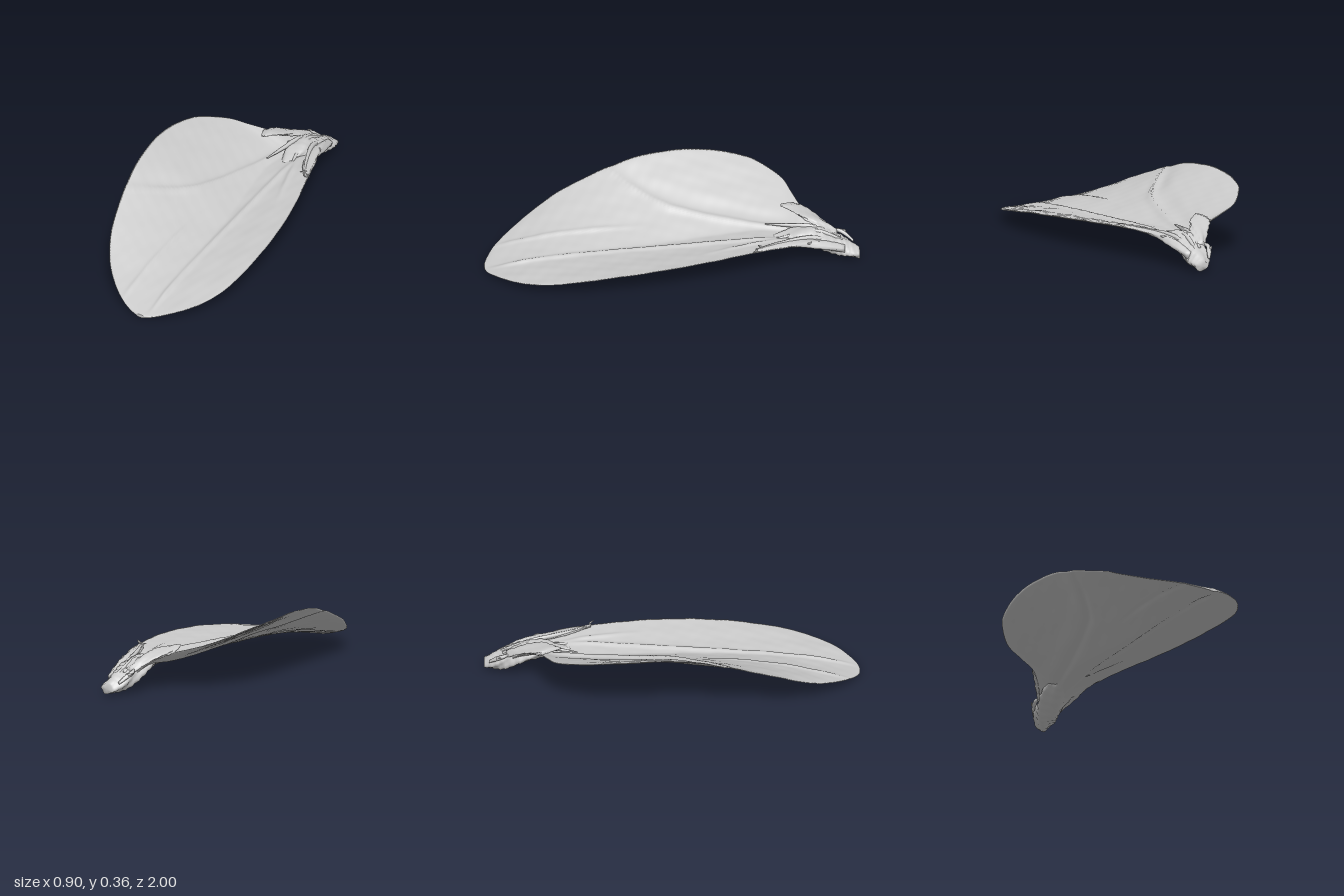
import * as THREE from 'three';

const V = (x, y, z) => new THREE.Vector3(x, y, z);
const material = new THREE.MeshStandardMaterial({ color: 0xcccccc, side: THREE.DoubleSide });
const spline = (pts) => new THREE.CatmullRomCurve3(pts.map((p) => V(...p)), false, 'catmullrom', 0.5);
const bump = (d, w) => Math.exp(-(d * d) / (w * w));
const step = THREE.MathUtils.smoothstep;

// Skin closed rings (counter-clockwise seen from +z, ordered towards +z) and cap both ends
function loft(rings, name) {
  const n = rings[0].length, pos = [], idx = [];
  for (const ring of rings) for (const p of ring) pos.push(p.x, p.y, p.z);
  for (let i = 0; i < rings.length - 1; i++)
    for (let j = 0; j < n; j++) {
      const k = (j + 1) % n, a = i * n + j, b = i * n + k;
      idx.push(a, b, a + n, b, b + n, a + n);
    }
  [0, rings.length - 1].forEach((r, end) => {
    const c = V(0, 0, 0), ci = pos.length / 3;
    rings[r].forEach((p) => c.addScaledVector(p, 1 / n));
    pos.push(c.x, c.y, c.z);
    for (let j = 0; j < n; j++) {
      const a = r * n + j, b = r * n + ((j + 1) % n);
      idx.push(ci, end ? a : b, end ? b : a);
    }
  });
  const g = new THREE.BufferGeometry();
  g.setAttribute('position', new THREE.Float32BufferAttribute(pos, 3));
  g.setIndex(idx);
  g.computeVertexNormals();
  const mesh = new THREE.Mesh(g, material);
  mesh.name = name;
  return mesh;
}

// Blade stations: z, left x, right x, then heights of left edge, valley and right edge
const stations = [
  [-0.86, 0.02, 0.14, 0.10, 0.055, 0.09],
  [-0.78, -0.03, 0.17, 0.16, 0.085, 0.125],
  [-0.70, -0.10, 0.20, 0.20, 0.11, 0.147],
  [-0.65, -0.20, 0.22, 0.23, 0.12, 0.157],
  [-0.60, -0.30, 0.245, 0.262, 0.126, 0.162],
  [-0.50, -0.38, 0.275, 0.30, 0.13, 0.166],
  [-0.40, -0.425, 0.305, 0.328, 0.128, 0.165],
  [-0.20, -0.45, 0.365, 0.355, 0.119, 0.158],
  [0.00, -0.435, 0.41, 0.36, 0.109, 0.147],
  [0.20, -0.405, 0.438, 0.335, 0.1, 0.132],
  [0.40, -0.36, 0.449, 0.272, 0.089, 0.112],
  [0.60, -0.297, 0.44, 0.195, 0.073, 0.083],
  [0.75, -0.215, 0.398, 0.122, 0.055, 0.058],
  [0.86, -0.12, 0.335, 0.074, 0.036, 0.042],
  [0.94, -0.025, 0.255, 0.042, 0.02, 0.026],
  [0.98, 0.05, 0.2, 0.02, 0.012, 0.015],
  [0.998, 0.105, 0.15, 0.01, 0.009, 0.009],
];

// Diagonal fold on the left lobe: x as a function of z
const foldX = (z) => (z < 0 ? -0.115 - 0.26 * z - 0.08 * z * z : -0.115 - 0.5 * z - 0.85 * z * z);

// Relief shared by both faces: veins, fold and faint wrinkles
function relief(x, z) {
  const along = step(z, -0.65, -0.4) * (1 - step(z, 0.8, 1));
  const rightVein = 0.011 * bump(x - 0.14 - 0.03 * z, 0.014) * along;
  const leftVein = 0.008 * bump(x + 0.015, 0.012) * along * step(z, 0.1, 0.4);
  const sideVein = 0.009 * bump(x - 0.19 - 0.3 * (z + 0.4), 0.014) * bump(z + 0.42, 0.16);
  const d = x - foldX(z);
  const inFold = step(z, -0.75, -0.5) * (1 - 0.6 * step(z, 0.1, 0.3)) * (1 - step(z, 0.3, 0.38));
  const fold = (0.012 * bump(d, 0.018) - 0.009 * bump(d + 0.055, 0.045)) * inFold;
  const wrinkle = 0.0016 * Math.sin(31 * x + 9 * z) * Math.sin(17 * z - 13 * x)
    + 0.0008 * Math.sin(67 * x - 23 * z) * Math.sin(49 * z + 21 * x);
  return rightVein + leftVein + sideVein + fold + wrinkle * along;
}

function blade() {
  const plan = spline(stations.map((s) => [s[1], s[2], s[0]]));
  const height = spline(stations.map((s) => [s[3], s[4], s[5]]));
  const rings = [], rows = 160, cols = 88;
  for (let i = 0; i <= rows; i++) {
    const { x: xl, y: xr, z } = plan.getPoint(i / rows);
    const { x: yl, y: ym, z: yr } = height.getPoint(i / rows);
    const valley = xl + (xr - xl) * 0.62, top = [], under = [];
    const curl = 1.1 + 0.17 * step(z, 0, 0.2);
    for (let j = 0; j <= cols; j++) {
      const s = j / cols, x = xr + (xl - xr) * s;
      const t = x < valley ? (valley - x) / (valley - xl) : (x - valley) / (xr - valley);
      const y = ym + (x < valley ? (yl - ym) * Math.pow(t, curl) : (yr - ym) * Math.pow(t, 1.5)) + relief(x, z);
      const half = 0.009 * Math.pow(Math.sin(Math.PI * s), 0.4);
      top.push(V(x, y + half, z));
      if (j > 0 && j < cols) under.unshift(V(x, y - half, z));
    }
    rings.push([...top, ...under]);
  }
  return loft(rings, 'blade');
}

// Fibrous lump following stations of x, y, z, half width, half height
function fibre(points, name, rough = 0.12, sides = 14, rows = 28) {
  const path = spline(points.map((p) => p.slice(0, 3)));
  const size = spline(points.map((p) => [p[3], p[4], 0]));
  const rings = [];
  for (let i = 0; i <= rows; i++) {
    const c = path.getPoint(i / rows), r = size.getPoint(i / rows), ring = [];
    for (let j = 0; j < sides; j++) {
      const a = (j / sides) * Math.PI * 2;
      const k = 1 + rough * (Math.sin(4 * a + i * 0.35) + 0.5 * Math.sin(3 * a - i * 1.7));
      ring.push(V(c.x + Math.cos(a) * r.x * k, c.y + Math.sin(a) * r.y * k, c.z));
    }
    rings.push(ring);
  }
  return loft(rings, name);
}

export function createModel() {
  const model = new THREE.Group();
  model.name = 'petal';
  model.add(blade());

  // Stalk, running into the base of the blade
  model.add(fibre([
    [0.10, 0.034, -1.0, 0.036, 0.026],
    [0.085, 0.056, -0.94, 0.06, 0.042],
    [0.075, 0.078, -0.88, 0.066, 0.052],
    [0.075, 0.112, -0.8, 0.08, 0.053],
    [0.075, 0.138, -0.7, 0.075, 0.038],
    [0.075, 0.142, -0.62, 0.045, 0.016],
    [0.08, 0.136, -0.54, 0.012, 0.006],
  ], 'stalk', 0.1, 24, 40));

  // Dry sheath scales hugging the base
  model.add(fibre([
    [0.04, 0.12, -0.88, 0.02, 0.022],
    [0.0, 0.175, -0.78, 0.048, 0.016],
    [-0.045, 0.205, -0.7, 0.063, 0.012],
    [-0.07, 0.222, -0.64, 0.038, 0.008],
    [-0.08, 0.228, -0.585, 0.008, 0.004],
  ], 'leftScale', 0.15, 20));
  model.add(fibre([
    [0.13, 0.08, -0.92, 0.02, 0.02],
    [0.155, 0.122, -0.8, 0.03, 0.024],
    [0.18, 0.15, -0.68, 0.03, 0.014],
    [0.222, 0.162, -0.55, 0.028, 0.009],
    [0.275, 0.17, -0.44, 0.012, 0.006],
  ], 'rightScale'));

  // Strands along the stalk: fold root, vein root, scale rim and a loose fibre
  const strands = [
    [[0.06, 0.115, -0.9], [0.045, 0.167, -0.76], [0.025, 0.167, -0.63], [0.0, 0.162, -0.5]],
    [[0.09, 0.105, -0.92], [0.085, 0.164, -0.78], [0.1, 0.152, -0.65], [0.135, 0.137, -0.5]],
    [[0.12, 0.1, -0.9], [0.13, 0.153, -0.75], [0.2, 0.165, -0.57], [0.27, 0.172, -0.44]],
    [[0.04, 0.07, -0.97], [0.02, 0.1, -0.93], [0.01, 0.12, -0.89], [0.03, 0.13, -0.85]],
  ];
  const radii = [0.008, 0.013, 0.01, 0.004];
  strands.forEach((pts, i) => {
    model.add(fibre(pts.map((p, k) => [...p, radii[k], radii[k]]), `strand${i + 1}`, 0.1, 8, 20));
  });

  // Ragged barbs on the scale ends
  [[0.28, 0.174, -0.45, 0.03], [0.255, 0.17, -0.48, -0.02], [0.18, 0.15, -0.74, 0.02], [0.01, 0.11, -0.93, -0.015]]
    .forEach(([x, y, z, dx], i) => model.add(fibre([
      [x, y, z, 0.008, 0.008],
      [x + dx * 0.5, y + 0.005, z + 0.01, 0.006, 0.006],
      [x + dx, y + 0.007, z + 0.025, 0.002, 0.002],
    ], `barb${i + 1}`, 0.1, 6, 6)));
  return model;
}
